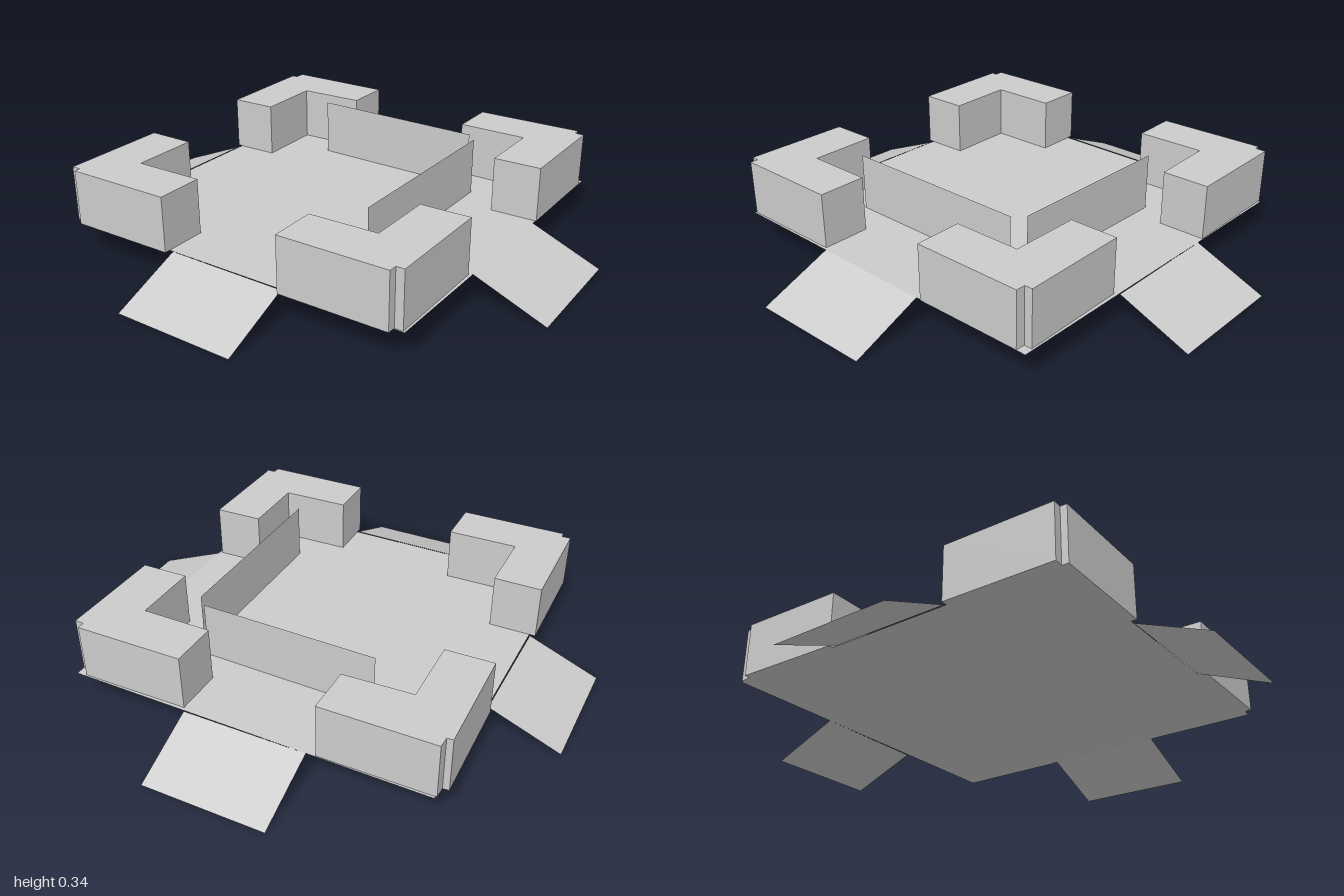
import * as THREE from 'three';

const FLOOR = 0.115, BLOCK_TOP = 0.33, WALL_TOP = 0.34;

export function createModel() {
  const group = new THREE.Group();
  group.name = 'walledPlatform';
  const grey = new THREE.MeshStandardMaterial({ color: 0xcccccc });
  grey.name = 'light grey';
  const greySheet = new THREE.MeshStandardMaterial({ color: 0xcccccc, side: THREE.DoubleSide });
  greySheet.name = 'light grey sheet';

  const add = (name, geometry, material) => {
    const mesh = new THREE.Mesh(geometry, material);
    mesh.name = name;
    group.add(mesh);
  };

  // Flat four-cornered sheet; corners run anticlockwise seen from its front
  const sheet = (name, a, b, c, d) => {
    const geometry = new THREE.BufferGeometry();
    geometry.setAttribute('position', new THREE.Float32BufferAttribute([a, b, c, a, c, d].flat(), 3));
    geometry.computeVertexNormals();
    add(name, geometry, greySheet);
  };

  // Upright prism from an outline of [x, z] points
  const prism = (name, outline) => {
    const shape = new THREE.Shape(outline.map(([x, z]) => new THREE.Vector2(x, -z)));
    const geometry = new THREE.ExtrudeGeometry(shape, { depth: BLOCK_TOP - FLOOR, bevelEnabled: false });
    geometry.rotateX(-Math.PI / 2);
    geometry.translate(0, FLOOR, 0);
    add(name, geometry, grey);
  };

  // Floor, turned slightly about the vertical axis
  sheet('floor', [-0.69, FLOOR, 0.73], [0.73, FLOOR, 0.69], [0.69, FLOOR, -0.735], [-0.735, FLOOR, -0.69]);

  // L-shaped corner blocks with a small notch at the outer corner
  prism('backRightBlock', [[-0.74, -0.705], [-0.307, -0.727], [-0.3, -0.54], [-0.567, -0.527],
    [-0.553, -0.25], [-0.743, -0.24], [-0.762, -0.668], [-0.737, -0.67]]);
  prism('backLeftBlock', [[0.206, -0.738], [0.634, -0.763], [0.637, -0.74], [0.68, -0.74],
    [0.698, -0.308], [0.51, -0.302], [0.49, -0.567], [0.217, -0.552]]);
  prism('frontLeftBlock', [[0.513, 0.232], [0.703, 0.225], [0.722, 0.652], [0.692, 0.654],
    [0.692, 0.69], [0.265, 0.706], [0.255, 0.519], [0.521, 0.508]]);
  prism('frontRightBlock', [[-0.548, 0.254], [-0.532, 0.524], [-0.265, 0.513], [-0.254, 0.706],
    [-0.685, 0.722], [-0.686, 0.69], [-0.718, 0.69], [-0.735, 0.264]]);

  // Ramps from the floor edge to the ground: top edge a-b, bottom edge c-d
  const ramp = (name, a, b, c, d) => sheet(name,
    [a[0], FLOOR, a[1]], [c[0], 0, c[1]], [d[0], 0, d[1]], [b[0], FLOOR, b[1]]);
  ramp('frontRamp', [-0.243, 0.716], [0.243, 0.702], [-0.233, 0.996], [0.254, 0.974]);
  ramp('leftRamp', [0.72, 0.214], [0.703, -0.273], [0.998, 0.203], [0.982, -0.28]);
  ramp('backRamp', [0.187, -0.722], [-0.3, -0.708], [0.174, -1], [-0.313, -0.987]);
  ramp('rightRamp', [-0.721, -0.225], [-0.708, 0.26], [-1, -0.214], [-0.987, 0.273]);

  // Two thin inner walls
  const wall = (name, [x1, z1], [x2, z2]) => sheet(name,
    [x1, FLOOR, z1], [x2, FLOOR, z2], [x2, WALL_TOP, z2], [x1, WALL_TOP, z1]);
  wall('frontWall', [-0.41, 0.398], [0.36, 0.372]);
  wall('leftWall', [0.4, 0.33], [0.388, -0.37]);

  return group;
}
